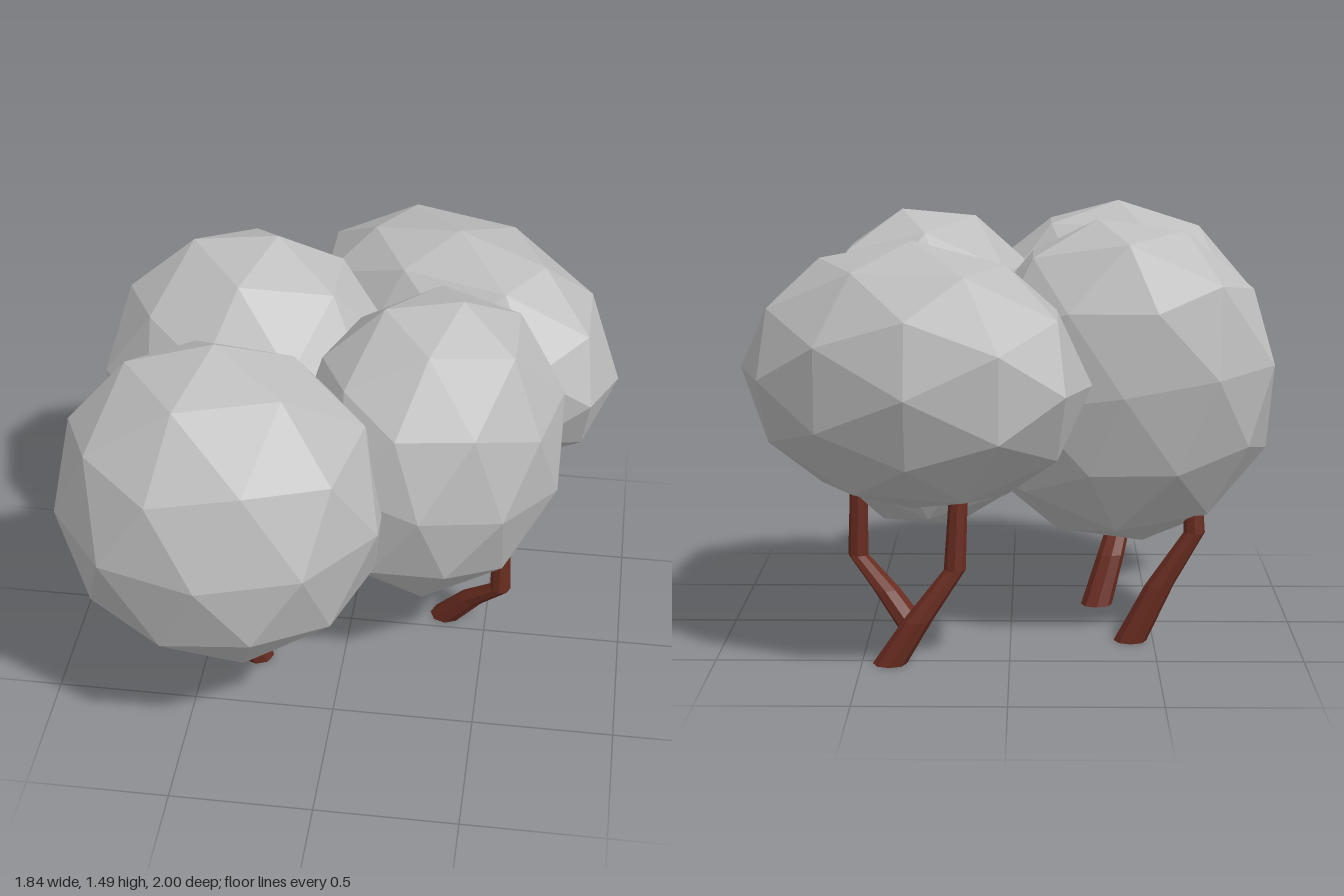
import * as THREE from 'three';

const foliage = new THREE.MeshStandardMaterial({ color: 0xbdbdbd, flatShading: true });
foliage.name = 'pale grey foliage';
const bark = new THREE.MeshStandardMaterial({ color: 0x682c20, flatShading: true });
bark.name = 'red brown bark';

// Each crown is a faceted ball: centre, width and height radii, front and back
// depths, the lean of z with x and y, and a spin of the facets.
const trees = [
  { name: 'frontTree', centre: [-0.375, 0.912, 0.46], radii: [0.575, 0.58], front: 0.54, back: 0.3,
    lean: [0.02, -0.05], spin: 0.58,
    path: [[-0.315, 0, 0.24], [-0.37, 0.18, 0.3], [-0.43, 0.37, 0.44], [-0.43, 0.55, 0.46]] },
  { name: 'rightTree', centre: [-0.38, 0.91, -0.21], radii: [0.55, 0.58], front: 0.47, back: 0.33,
    lean: [0.03, -0.13], spin: 0.4,
    path: [[-0.42, 0, -0.24], [-0.52, 0.2, -0.24], [-0.64, 0.39, -0.24], [-0.63, 0.6, -0.23]] },
  { name: 'leftTree', centre: [0.295, 0.915, 0.08], radii: [0.475, 0.585], front: 0.475, back: 0.43,
    lean: [-0.15, 0], spin: 0.36,
    path: [[0.35, 0, -0.08], [0.45, 0.13, -0.035], [0.555, 0.24, 0.03], [0.55, 0.52, 0.02]] },
  { name: 'backTree', centre: [0.325, 0.98, -0.49], radii: [0.595, 0.45], front: 0.42, back: 0.51,
    lean: [0.32, 0], spin: 0,
    path: [[0.405, 0, -0.53], [0.31, 0.15, -0.53], [0.185, 0.32, -0.5], [0.17, 0.62, -0.49]] },
];

function makeCrown({ centre, radii, front, back, lean, spin }) {
  const geo = new THREE.IcosahedronGeometry(1, 1);
  geo.rotateZ(spin);
  const pos = geo.attributes.position;
  for (let i = 0; i < pos.count; i++) {
    const x = pos.getX(i) * radii[0];
    const y = pos.getY(i) * radii[1];
    const z = pos.getZ(i) * (pos.getZ(i) > 0 ? front : back);
    pos.setXYZ(i, x, y, z + lean[0] * x + lean[1] * y);
  }
  geo.translate(...centre);
  geo.computeVertexNormals();
  const mesh = new THREE.Mesh(geo, foliage);
  mesh.name = 'crown';
  return mesh;
}

// Eight-sided trunk whose rings follow a bent path and taper upward.
function makeTrunk({ path }) {
  const ringRadii = [0.058, 0.05, 0.037, 0.031];
  const rows = path.length - 1;
  const geo = new THREE.CylinderGeometry(1, 1, rows, 8, rows);
  const pos = geo.attributes.position;
  for (let i = 0; i < pos.count; i++) {
    const ring = Math.round(pos.getY(i) + rows / 2);
    const [x, y, z] = path[ring];
    const r = ringRadii[ring];
    pos.setXYZ(i, x + pos.getX(i) * r, y, z + pos.getZ(i) * r);
  }
  geo.computeVertexNormals();
  const mesh = new THREE.Mesh(geo, bark);
  mesh.name = 'trunk';
  return mesh;
}

export function createModel() {
  const grove = new THREE.Group();
  grove.name = 'grove';
  for (const spec of trees) {
    const tree = new THREE.Group();
    tree.name = spec.name;
    tree.add(makeCrown(spec), makeTrunk(spec));
    grove.add(tree);
  }
  return grove;
}
